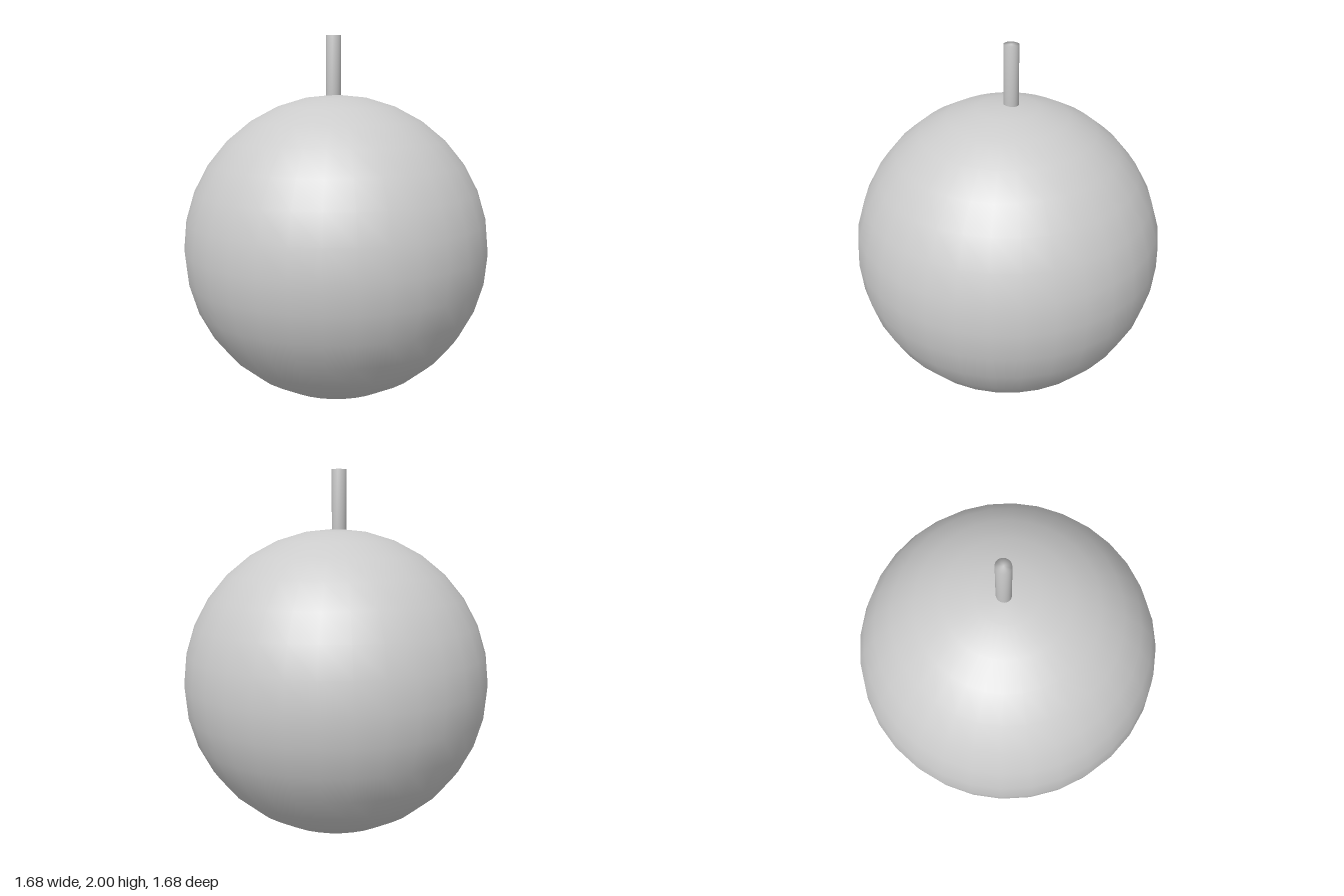
import * as THREE from 'three';
import { mergeVertices } from 'three/addons/utils/BufferGeometryUtils.js';

export function createModel() {
  const model = new THREE.Group();
  const material = new THREE.MeshStandardMaterial({ color: 0xcccccc });
  const radius = 0.842;

  // Round body resting on the ground
  const body = new THREE.Mesh(new THREE.SphereGeometry(radius, 32, 16), material);
  body.name = 'body';
  body.position.y = radius;
  model.add(body);

  // Short stem, slightly off centre and slightly oval, shaded softly over its rims
  const bottom = 1.68, top = 2;
  const cylinder = new THREE.CylinderGeometry(0.039, 0.039, top - bottom, 24);
  cylinder.deleteAttribute('normal');
  cylinder.deleteAttribute('uv');
  const stemGeometry = mergeVertices(cylinder);
  stemGeometry.scale(1, 1, 1.06);
  stemGeometry.computeVertexNormals();
  const stem = new THREE.Mesh(stemGeometry, material);
  stem.name = 'stem';
  stem.position.set(-0.022, (bottom + top) / 2, 0);
  model.add(stem);

  return model;
}
